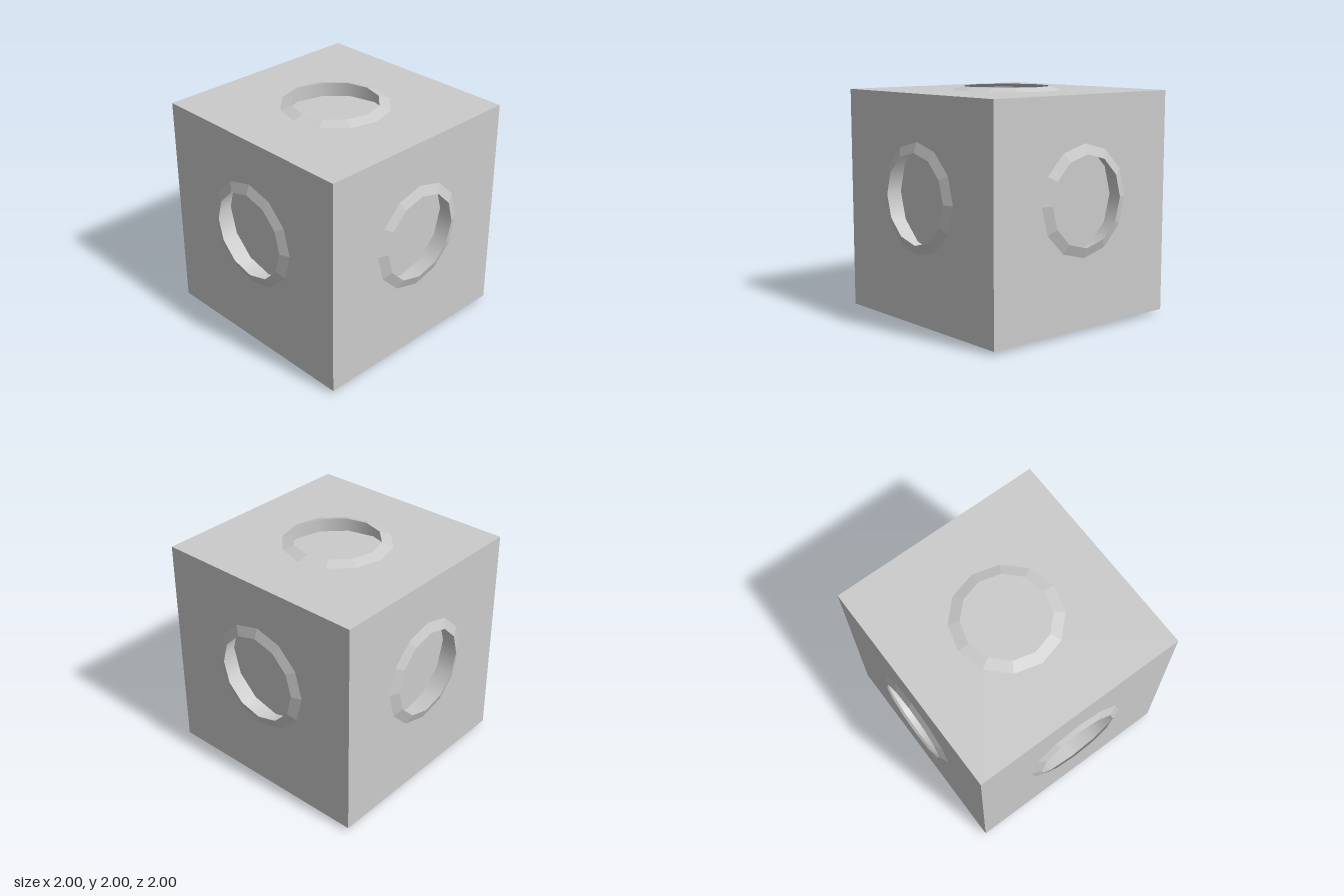
import * as THREE from 'three';

const HALF = 0.967;  // half the cube's edge
const LIP = 0.032;   // how far each rim stands out
const OUTER = 0.472; // radius of the socket and of the rim at the panel
const SIDES = 12;

const smooth = new THREE.MeshStandardMaterial({ color: 0xcccccc });
const faceted = new THREE.MeshStandardMaterial({
  color: 0xcccccc, flatShading: true, side: THREE.DoubleSide,
});

// Lathe between two profile points, turned so its axis is +z
function ring(r0, z0, r1, z1) {
  const points = [new THREE.Vector2(r0, z0), new THREE.Vector2(r1, z1)];
  return new THREE.LatheGeometry(points, SIDES).rotateX(Math.PI / 2);
}

// One cube side facing +z: pierced panel, overhanging rim, socket wall and floor
function createSide(name, { opening, depth, lift }) {
  const side = new THREE.Group();
  side.name = name;
  const add = (part, geometry, material) => {
    const mesh = new THREE.Mesh(geometry, material);
    mesh.name = part;
    mesh.position.z = HALF;
    side.add(mesh);
    return mesh;
  };

  const outline = new THREE.Shape([[-1, -1], [1, -1], [1, 1], [-1, 1]]
    .map(([x, y]) => new THREE.Vector2(x * HALF, y * HALF)));
  const hole = Array.from({ length: SIDES }, (_, i) => {
    const a = -i / SIDES * Math.PI * 2;
    return new THREE.Vector2(OUTER * Math.cos(a), lift + OUTER * Math.sin(a));
  });
  outline.holes.push(new THREE.Path(hole));
  add('panel', new THREE.ShapeGeometry(outline), smooth);

  const socket = [
    add('rim', ring(OUTER, 0, opening, LIP).toNonIndexed(), faceted),
    add('socketWall', ring(OUTER, 0, OUTER, -depth), smooth),
    add('socketFloor', new THREE.CircleGeometry(OUTER, SIDES).translate(0, 0, -depth), smooth),
  ];
  socket.forEach((mesh) => { mesh.position.y = lift; });
  return side;
}

export function createModel() {
  const model = new THREE.Group();
  model.name = 'socketCube';
  const body = new THREE.Group();
  body.name = 'body';
  body.position.y = 1;
  model.add(body);

  // Four upright sides, with sockets slightly above the middle
  ['frontSide', 'leftSide', 'backSide', 'rightSide'].forEach((name, i) => {
    const side = createSide(name, { opening: 0.385, depth: 0.17, lift: 0.102 });
    side.rotation.y = i * Math.PI / 2;
    body.add(side);
  });

  // Top and bottom, with centred sockets
  const top = createSide('topSide', { opening: 0.375, depth: 0.135, lift: 0 });
  top.rotation.x = -Math.PI / 2;
  const bottom = createSide('bottomSide', { opening: 0.375, depth: 0.245, lift: 0 });
  bottom.rotation.x = Math.PI / 2;
  body.add(top, bottom);

  return model;
}
